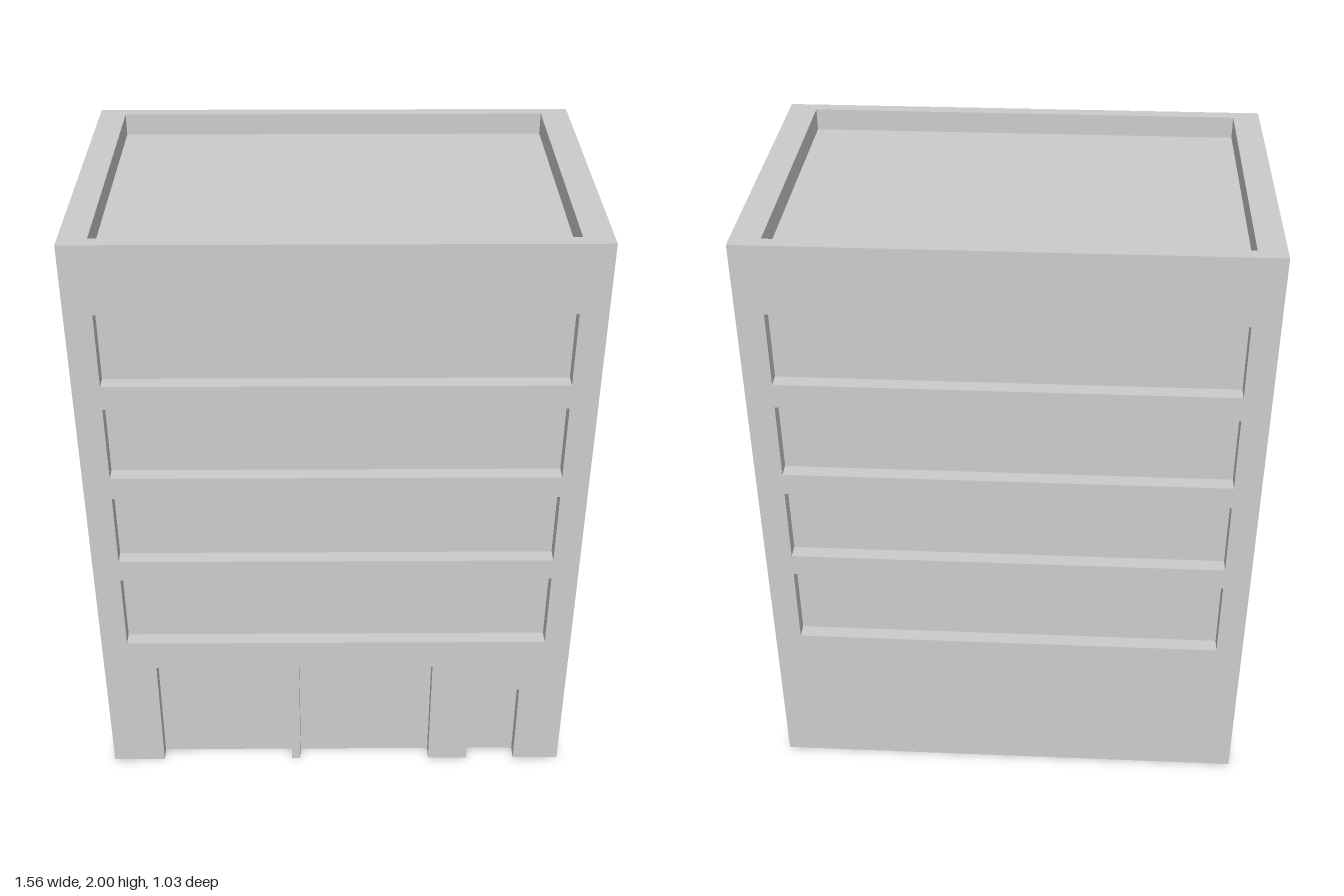
import * as THREE from 'three';

const W = 1.56, H = 2, D = 1.03;
const material = new THREE.MeshStandardMaterial({ color: 0xcccccc, side: THREE.DoubleSide });

// Vertical extent of the window band on each upper floor
const FLOORS = [[0.54, 0.81], [0.885, 1.135], [1.21, 1.46], [1.54, 1.78]];

const bands = (halfWidth) => FLOORS.map(([y0, y1]) => ({ name: 'windowBand', x0: -halfWidth, x1: halfWidth, y0, y1 }));

// Open-fronted niche behind an opening; doors also have no bottom
function niche({ name, x0, x1, y0, y1 }, depth, openBottom) {
  const g = new THREE.BoxGeometry(x1 - x0, y1 - y0, depth);
  const all = Array.from(g.index.array);
  // box faces come in the order +x, -x, +y, -y, +z, -z, six indices each
  const kept = all.filter((_, i) => {
    const face = Math.floor(i / 6);
    return face !== 4 && !(openBottom && face === 3);
  });
  // turn the faces to look into the niche
  g.setIndex(kept.reverse());
  g.clearGroups();
  g.computeVertexNormals();
  g.translate((x0 + x1) / 2, (y0 + y1) / 2, -depth / 2);
  const mesh = new THREE.Mesh(g, material);
  mesh.name = name;
  return mesh;
}

// Thin sheet facing +z, with doors notched into its foot and openings cut as holes
function wall(name, width, y0, y1, depth, openings, doors = []) {
  const group = new THREE.Group();
  group.name = name;
  const shape = new THREE.Shape();
  shape.moveTo(-width / 2, y0);
  for (const d of doors) {
    shape.lineTo(d.x0, y0);
    shape.lineTo(d.x0, d.y1);
    shape.lineTo(d.x1, d.y1);
    shape.lineTo(d.x1, y0);
  }
  shape.lineTo(width / 2, y0);
  shape.lineTo(width / 2, y1);
  shape.lineTo(-width / 2, y1);
  shape.closePath();
  for (const o of openings) {
    const hole = new THREE.Path();
    hole.moveTo(o.x0, o.y0);
    hole.lineTo(o.x0, o.y1);
    hole.lineTo(o.x1, o.y1);
    hole.lineTo(o.x1, o.y0);
    hole.closePath();
    shape.holes.push(hole);
    group.add(niche(o, depth, false));
  }
  for (const d of doors) group.add(niche(d, depth, true));
  const sheet = new THREE.Mesh(new THREE.ShapeGeometry(shape), material);
  sheet.name = name + 'Surface';
  group.add(sheet);
  return group;
}

export function createModel() {
  const model = new THREE.Group();
  model.name = 'building';

  // Front with two garage doors and an entrance
  const doors = [
    { name: 'garageDoor', x0: -0.605, x1: -0.155, y0: 0, y1: 0.43 },
    { name: 'garageDoor', x0: -0.125, x1: 0.325, y0: 0, y1: 0.43 },
    { name: 'entranceDoor', x0: 0.46, x1: 0.625, y0: 0, y1: 0.325 },
  ];
  const front = wall('frontWall', W, 0, H, 0.047, bands(0.695), doors);
  front.position.z = D / 2;

  // Back
  const back = wall('backWall', W, 0, H, 0.047, bands(0.695));
  back.rotation.y = Math.PI;
  back.position.z = -D / 2;
  model.add(front, back);

  // Sides
  for (const [name, s] of [['leftWall', 1], ['rightWall', -1]]) {
    const side = wall(name, D, 0, H, 0.07, bands(0.472));
    side.rotation.y = s * Math.PI / 2;
    side.position.x = s * W / 2;
    model.add(side);
  }

  // Parapet rim with the sunken roof deck
  const deck = { name: 'roofDeck', x0: -0.695, x1: 0.69, y0: -0.472, y1: 0.472 };
  const roof = wall('roofParapet', W, -D / 2, D / 2, 0.07, [deck]);
  roof.rotation.x = -Math.PI / 2;
  roof.position.y = H;
  model.add(roof);

  return model;
}
